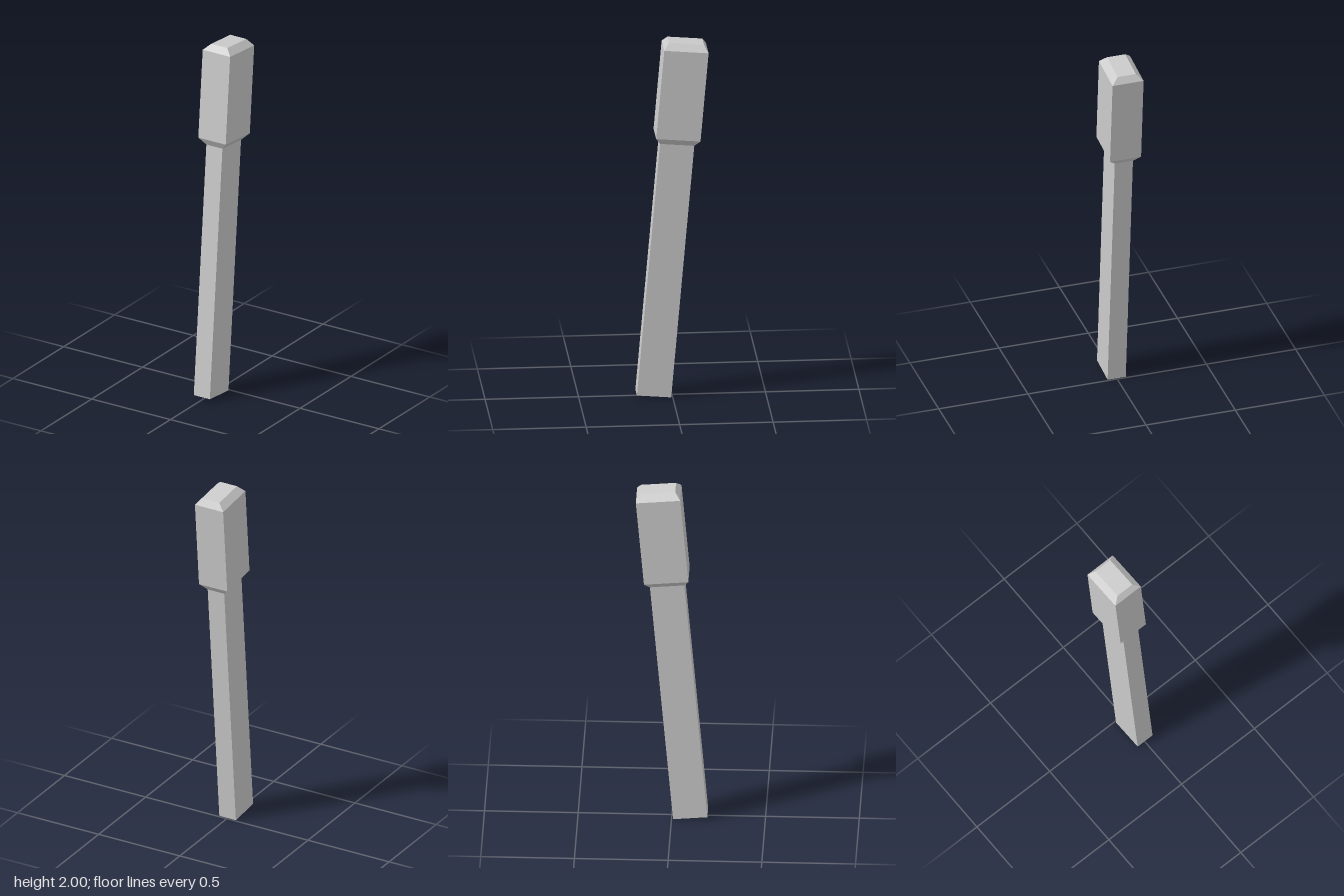
import * as THREE from 'three';

const material = new THREE.MeshStandardMaterial({ color: 0xcccccc, flatShading: true });

// Lofts rectangular sections [height, width, depth] from bottom to top, with optional end caps.
function loftRectangles(name, sections, capBottom, capTop) {
  const corners = sections.map(([y, w, d]) =>
    [[1, 1], [1, -1], [-1, -1], [-1, 1]].map(([sx, sz]) => [sx * w / 2, y, sz * d / 2]));
  const positions = [];
  const quad = (a, b, c, d) => positions.push(...a, ...b, ...c, ...a, ...c, ...d);
  for (let i = 0; i < corners.length - 1; i++) {
    const low = corners[i], high = corners[i + 1];
    for (let j = 0; j < 4; j++) {
      const k = (j + 1) % 4;
      quad(low[j], low[k], high[k], high[j]);
    }
  }
  const first = corners[0], last = corners[corners.length - 1];
  if (capBottom) quad(first[3], first[2], first[1], first[0]);
  if (capTop) quad(last[0], last[1], last[2], last[3]);

  const geometry = new THREE.BufferGeometry();
  geometry.setAttribute('position', new THREE.Float32BufferAttribute(positions, 3));
  geometry.computeVertexNormals();
  const mesh = new THREE.Mesh(geometry, material);
  mesh.name = name;
  return mesh;
}

export function createModel() {
  const model = new THREE.Group();
  model.name = 'post';

  // Everything leans back five degrees from the foot
  const leaning = new THREE.Group();
  leaning.name = 'leaningPost';
  leaning.position.set(0, 0.008, 0.1);
  leaning.rotation.x = -THREE.MathUtils.degToRad(5);
  model.add(leaning);

  const neck = [1.42, 0.102, 0.184];

  // Straight rectangular shaft
  leaning.add(loftRectangles('shaft', [[0, 0.102, 0.184], neck], true, false));

  // Wider head, bevelled at both ends
  leaning.add(loftRectangles('head', [
    neck,
    [1.458, 0.174, 0.238],
    [1.956, 0.174, 0.238],
    [1.991, 0.102, 0.188],
  ], false, true));

  return model;
}
